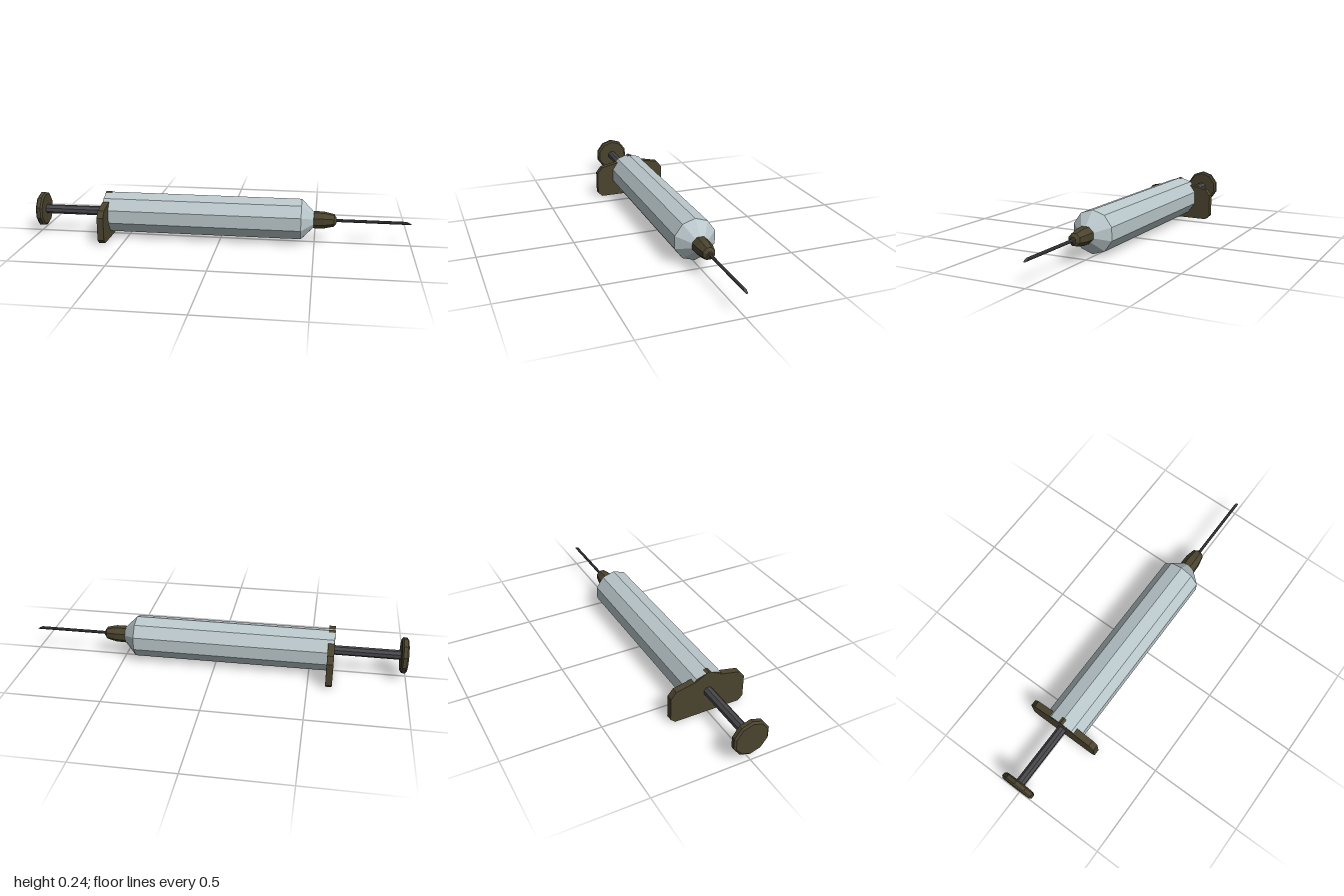
import * as THREE from 'three';

const AXIS_Y = 0.123;

export function createModel() {
  const group = new THREE.Group();
  group.name = 'syringe';

  const makeMaterial = (name, color) => {
    const m = new THREE.MeshStandardMaterial({ color });
    m.name = name;
    return m;
  };
  const glass = makeMaterial('pale blue grey', 0xbac7cb);
  const olive = makeMaterial('dark olive', 0x4a432e);
  const steel = makeMaterial('dark grey', 0x48474b);

  const add = (name, geometry, material, y = AXIS_Y) => {
    const faceted = geometry.index ? geometry.toNonIndexed() : geometry;
    faceted.computeVertexNormals();
    const mesh = new THREE.Mesh(faceted, material);
    mesh.name = name;
    mesh.position.y = y;
    group.add(mesh);
    return mesh;
  };

  // Faceted solid around the long axis, from [x, radius] pairs running towards +x
  const turned = (profile, sides, start = Math.PI / 2) =>
    new THREE.LatheGeometry(
      profile.map(([x, r]) => new THREE.Vector2(r, x)), sides, start
    ).rotateZ(-Math.PI / 2);

  // Ten-sided barrel with a conical shoulder, closed by a dark end plate
  add('barrel', turned([[-0.623, 0.111], [0.43, 0.111], [0.497, 0.04], [0.497, 0]], 10), glass);
  add('barrelEnd', turned([[-0.623, 0], [-0.623, 0.111]], 10), olive);

  // Finger flange: outline in z and y, mirrored about the centre
  const half = [[0.175, 0], [0.2, 0.022], [0.2, 0.143], [0.173, 0.177], [0.07, 0.199]];
  const outline = [
    ...half, [0, 0.237],
    ...half.slice().reverse().map(([z, y]) => [-z, y]),
  ].map(([z, y]) => new THREE.Vector2(z, y));
  const flange = new THREE.ExtrudeGeometry(new THREE.Shape(outline), { depth: 0.034, bevelEnabled: false });
  flange.rotateY(Math.PI / 2).translate(-0.625, 0, 0);
  add('fingerFlange', flange, olive, 0);

  // Plunger rod and chamfered thumb rest
  add('plungerRod', turned([[-0.98, 0.025], [-0.61, 0.025]], 8, Math.PI / 8), steel);
  add('thumbRest', turned([
    [-1, 0], [-1, 0.084], [-0.992, 0.094], [-0.973, 0.094], [-0.965, 0.084], [-0.965, 0],
  ], 10), olive);

  // Needle hub
  add('needleHub', turned([
    [0.488, 0], [0.488, 0.042], [0.5, 0.046], [0.55, 0.044], [0.6, 0.033], [0.612, 0.016], [0.612, 0],
  ], 8, Math.PI / 8), olive);

  // Needle, its end cut at a slant so the point lies at the bottom
  const R = 0.008;
  const needle = turned([[0.6, R], [1, R], [1, 0]], 8, Math.PI / 8);
  const pos = needle.attributes.position;
  for (let i = 0; i < pos.count; i++) {
    if (pos.getX(i) > 0.9) {
      pos.setX(i, 1 - 0.03 * (pos.getY(i) + R * Math.cos(Math.PI / 8)) / (2 * R));
    }
  }
  add('needle', needle, steel);

  return group;
}
